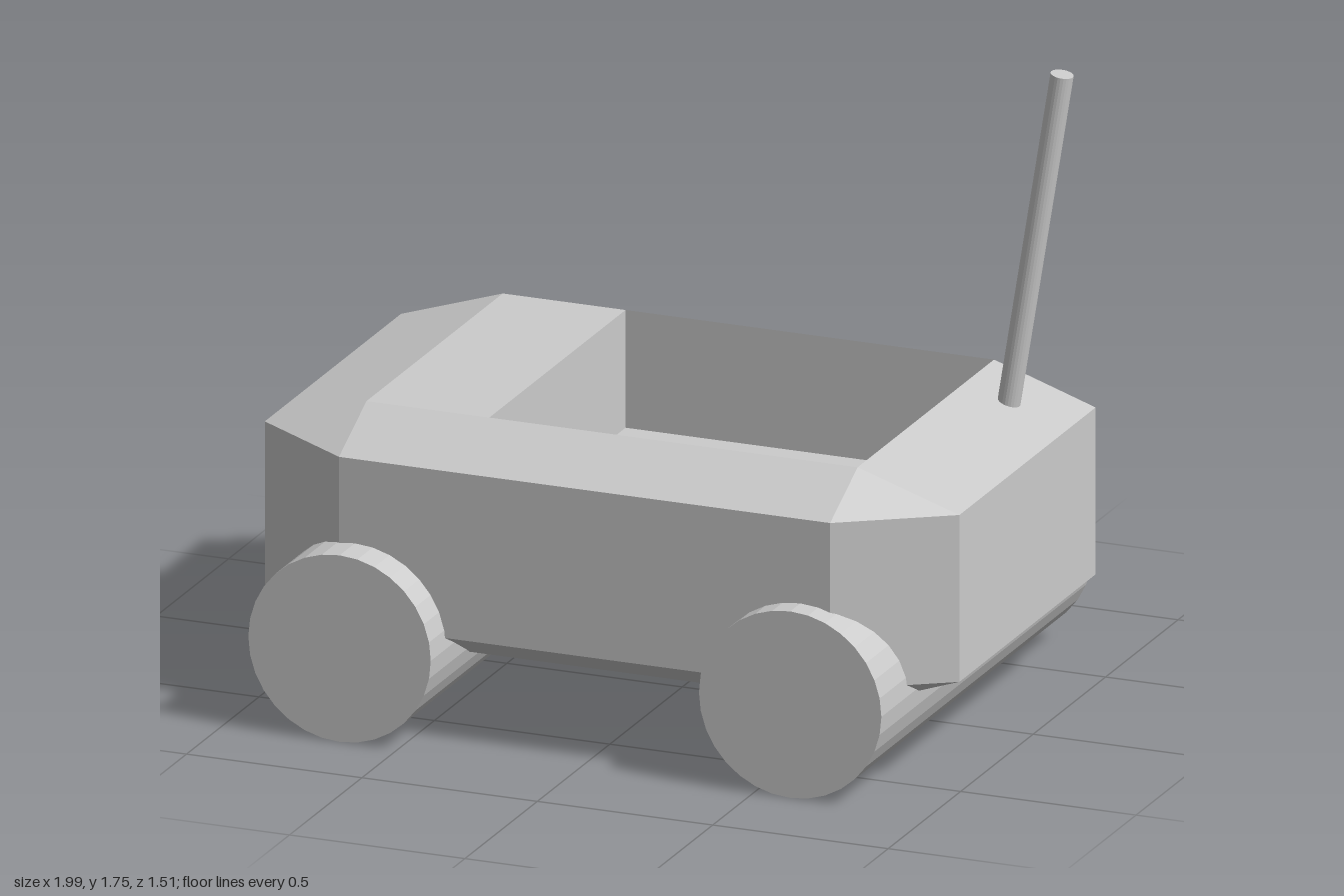
import * as THREE from 'three';

const material = new THREE.MeshStandardMaterial({ color: 0xcccccc, flatShading: true });

function addMesh(parent, name, geometry) {
  const mesh = new THREE.Mesh(geometry, material);
  mesh.name = name;
  parent.add(mesh);
  return mesh;
}

// Turns corner loops (counter-clockwise seen from outside) into flat faces
function facesToGeometry(faces) {
  const points = [];
  for (const [a, b, c, d] of faces) {
    for (const [p, q, r] of [[a, b, c], [a, c, d]]) {
      if (p.equals(q) || q.equals(r) || r.equals(p)) continue;
      points.push(p, q, r);
    }
  }
  const geometry = new THREE.BufferGeometry().setFromPoints(points);
  geometry.computeVertexNormals();
  return geometry;
}

// Faces between two matching rings
const band = (a, b) => a.map((p, i) => {
  const j = (i + 1) % a.length;
  return [p, a[j], b[j], b[i]];
});

// Rectangle with a near-front-left start, running counter-clockwise from above
const rect = (x0, x1, z0, z1, y) =>
  [[x0, z1], [x1, z1], [x1, z0], [x0, z0]].map(([x, z]) => new THREE.Vector3(x, y, z));

// Chamfered hull with an open tray sunk into the deck
function bodyGeometry() {
  const cx = -0.01, cz = -0.01;
  const xIn = 0.7, xOut = 0.99, zIn = 0.47, zOut = 0.66;
  const ring = (y, xo, zo) => [
    [-xIn, zo], [xIn, zo], [xo, zIn], [xo, -zIn],
    [xIn, -zo], [-xIn, -zo], [-xo, -zIn], [-xo, zIn],
  ].map(([x, z]) => new THREE.Vector3(x + cx, y, z + cz));

  const rings = [
    ring(0.19, xIn, zIn), ring(0.29, xOut, zOut),
    ring(0.755, xOut, zOut), ring(0.85, xIn, zIn),
  ];
  const faces = [];
  for (let i = 0; i < rings.length - 1; i++) faces.push(...band(rings[i], rings[i + 1]));

  const z0 = cz - zIn, z1 = cz + zIn, x0 = cx - xIn, x1 = cx + xIn, trayX = -0.36;
  const floor = rect(trayX, x1, z0, z1, 0.522);
  faces.push(rect(x0, x1, z0, z1, 0.19).reverse());           // underside
  faces.push(rect(x0, trayX, z0, z1, 0.85));                  // deck
  faces.push(...band(rect(trayX, x1, z0, z1, 0.85), floor));  // tray walls
  faces.push(floor);
  return facesToGeometry(faces);
}

export function createModel() {
  const model = new THREE.Group();
  model.name = 'cart';
  addMesh(model, 'body', bodyGeometry());

  // Full-width wheel rollers
  const radius = 0.26;
  for (const [name, x, z0, z1] of [
    ['rightWheels', -0.665, -0.76, 0.755],
    ['leftWheels', 0.605, -0.74, 0.72],
  ]) {
    const wheel = addMesh(model, name, new THREE.CylinderGeometry(radius, radius, z1 - z0, 32));
    wheel.rotation.x = Math.PI / 2;
    wheel.position.set(x, radius, (z0 + z1) / 2);
  }

  // Leaning pole handle
  const foot = new THREE.Vector3(0.807, 0.78, -0.29);
  const tip = new THREE.Vector3(0.963, 1.742, -0.29);
  const axis = tip.clone().sub(foot);
  const pole = addMesh(model, 'pole', new THREE.CylinderGeometry(0.031, 0.031, axis.length(), 24));
  pole.position.copy(foot).add(tip).multiplyScalar(0.5);
  pole.quaternion.setFromUnitVectors(new THREE.Vector3(0, 1, 0), axis.normalize());

  return model;
}
